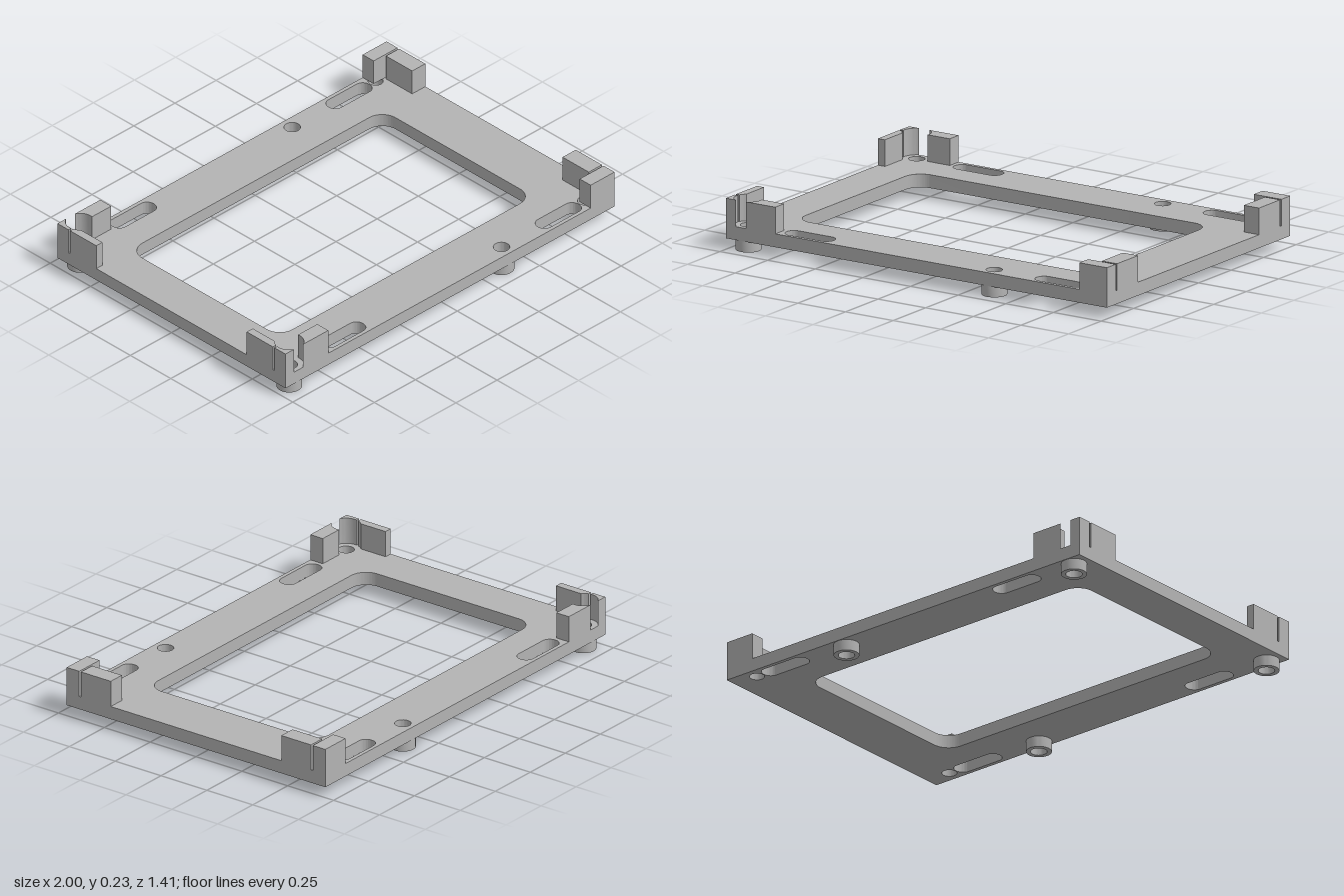
import * as THREE from 'three';
import { toCreasedNormals } from 'three/addons/utils/BufferGeometryUtils.js';

const BASE = 0.05, TOP = 0.11, WALL = 0.23;   // heights of plate underside, plate top, corner walls
const HX = 1, HZ = 0.705;                     // plate half extents
const ROW = 0.647;                            // z of the hole rows
const HOLE = 0.036;

const circle = (x, z, r) => new THREE.Path().absarc(x, z, r, 0, Math.PI * 2, true);

// rounded rectangle outline
function roundRect(x0, x1, z0, z1, r) {
  const h = Math.PI / 2;
  return new THREE.Path()
    .absarc(x1 - r, z1 - r, r, 0, h)
    .absarc(x0 + r, z1 - r, r, h, 2 * h)
    .absarc(x0 + r, z0 + r, r, 2 * h, 3 * h)
    .absarc(x1 - r, z0 + r, r, 3 * h, 4 * h)
    .closePath();
}

// plan outlines use (x, -z) and rise from y0 to y1
function slab(name, shape, y0, y1, material) {
  const geo = new THREE.ExtrudeGeometry(shape, { depth: y1 - y0, bevelEnabled: false, curveSegments: 16 });
  geo.rotateX(-Math.PI / 2);
  geo.translate(0, y0, 0);
  const mesh = new THREE.Mesh(toCreasedNormals(geo, Math.PI / 6), material);
  mesh.name = name;
  return mesh;
}

const outline = (points, s) => new THREE.Shape(points.map(([x, z]) => new THREE.Vector2(x, z * s)));

// points on the screw-head clearance circle between two angles
function clearance(a0, a1) {
  const pts = [];
  for (let i = 0; i <= 10; i++) {
    const a = a0 + (a1 - a0) * i / 10;
    pts.push([-0.92 + 0.064 * Math.cos(a), ROW + 0.064 * Math.sin(a)]);
  }
  return pts;
}

export function createModel() {
  const group = new THREE.Group();
  const grey = new THREE.MeshStandardMaterial({ color: 0xb3b3b3 });
  grey.name = 'grey plastic';

  // Base plate with large window, slots and screw holes
  const plate = outline([[-HX, -HZ], [HX, -HZ], [HX, HZ], [-HX, HZ]], 1);
  plate.holes.push(roundRect(-0.8, 0.74, -0.465, 0.465, 0.08));
  for (const s of [-1, 1]) {
    const z = ROW * s;
    plate.holes.push(
      circle(-0.92, z, HOLE), circle(0.37, z, HOLE), circle(0.877, z, 0.033),
      roundRect(-0.72, -0.472, z - 0.04, z + 0.04, 0.038),
      roundRect(0.592, 0.839, z - 0.04, z + 0.04, 0.038));
  }
  group.add(slab('basePlate', plate, BASE, TOP, grey));

  const inner = 0.637, slit = 0.627;          // narrow slit between side and end walls
  const aIn = Math.asin((inner - ROW) / 0.064), aOut = Math.asin((HZ - ROW) / 0.064);
  const aSlit = Math.asin((slit - ROW) / 0.064), aEnd = Math.acos(0.043 / 0.064);

  for (const s of [-1, 1]) {
    const side = s > 0 ? 'back' : 'front';
    const wall = (name, pts) => group.add(slab(side + name, outline(pts, s), TOP, WALL, grey));

    // Corner walls at the +x end
    wall('LeftSideWall', [[0.855, inner], [HX, inner], [HX, HZ], [0.855, HZ]]);
    wall('LeftEndWall', [[0.92, 0.465], [HX, 0.465], [HX, slit], [0.92, slit]]);

    // Corner walls at the -x end, cut round the screw head
    wall('RightSideWall', [[-0.74, inner], [-0.74, HZ], ...clearance(aOut, aIn)]);
    wall('RightCornerPost', [[-HX, inner], [-HX, HZ], ...clearance(Math.PI - aOut, Math.PI - aIn)]);
    wall('RightEndWall', [[-HX, slit], [-HX, 0.465], [-0.963, 0.465],
      ...clearance(Math.PI + aEnd, Math.PI - aSlit)]);

    // Hollow feet below the screw holes
    for (const x of [-0.92, 0.37]) {
      const ring = new THREE.Shape().absarc(x, ROW * s, 0.056, 0, Math.PI * 2);
      ring.holes.push(circle(x, ROW * s, HOLE));
      group.add(slab(side + 'Foot', ring, 0, BASE, grey));
    }
  }
  return group;
}
